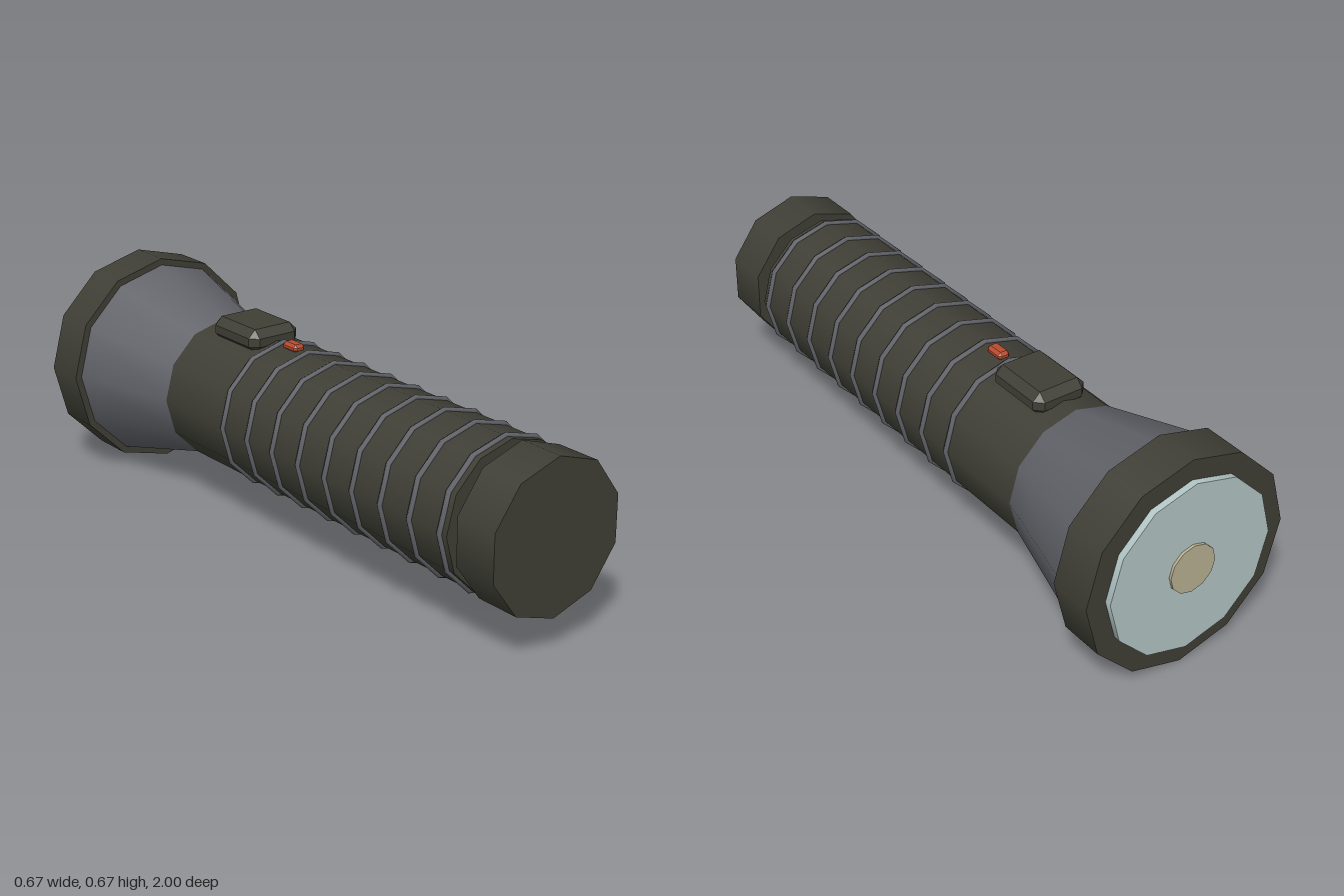
import * as THREE from 'three';
import { ConvexGeometry } from 'three/addons/geometries/ConvexGeometry.js';

const AXIS_Y = 0.335;

function material(name, color) {
  const m = new THREE.MeshStandardMaterial({ color });
  m.name = name;
  return m;
}

// Box with every edge cut at 45 degrees
function bevelledBox(w, h, d, b) {
  const points = [];
  for (const sx of [-1, 1]) for (const sy of [-1, 1]) for (const sz of [-1, 1]) {
    const x = w / 2, y = h / 2, z = d / 2;
    points.push(
      new THREE.Vector3(sx * x, sy * (y - b), sz * (z - b)),
      new THREE.Vector3(sx * (x - b), sy * y, sz * (z - b)),
      new THREE.Vector3(sx * (x - b), sy * (y - b), sz * z));
  }
  return new ConvexGeometry(points);
}

export function createModel() {
  const model = new THREE.Group();
  model.name = 'flashlight';
  const dark = material('dark olive casing', 0x3f3f36);
  const grey = material('grey metal', 0x616369);
  const glass = material('pale lens glass', 0xb3c6c6);
  const cream = material('cream bulb', 0xb9b192);
  const red = material('red indicator', 0xb84a2c);

  function add(name, geometry, mat, y = AXIS_Y, z = 0) {
    const mesh = new THREE.Mesh(geometry, mat);
    mesh.name = name;
    mesh.position.set(0, y, z);
    model.add(mesh);
  }

  // Faceted drum lying along z, from zBack to zFront
  function drum(name, mat, zBack, zFront, rBack, rFront = rBack, sides = 12) {
    const geometry = new THREE.CylinderGeometry(rFront, rBack, zFront - zBack, sides);
    geometry.rotateX(Math.PI / 2);
    add(name, geometry, mat, AXIS_Y, (zBack + zFront) / 2);
  }

  // Handle and tail cap
  drum('handle', dark, -0.49, 0.82, 0.222);
  drum('tailCap', dark, 0.857, 1, 0.23, 0.23, 10);

  // Grip rings
  for (let i = 0; i < 9; i++) {
    add('gripRing', new THREE.TorusGeometry(0.223, 0.009, 6, 12), grey, AXIS_Y, 0.793 - i * 0.1225);
  }

  // Flared head, bezel, lens and bulb
  drum('head', grey, -0.84, -0.49, 0.315, 0.222);
  drum('bezel', dark, -0.972, -0.836, 0.335);
  drum('lens', glass, -0.992, -0.96, 0.272);
  drum('bulb', cream, -1, -0.98, 0.076);

  // Switch and indicator on top of the handle
  add('switch', bevelledBox(0.176, 0.074, 0.22, 0.024), dark, 0.56, -0.325);
  add('indicator', bevelledBox(0.04, 0.026, 0.066, 0.009), red, 0.56, -0.132);

  return model;
}
